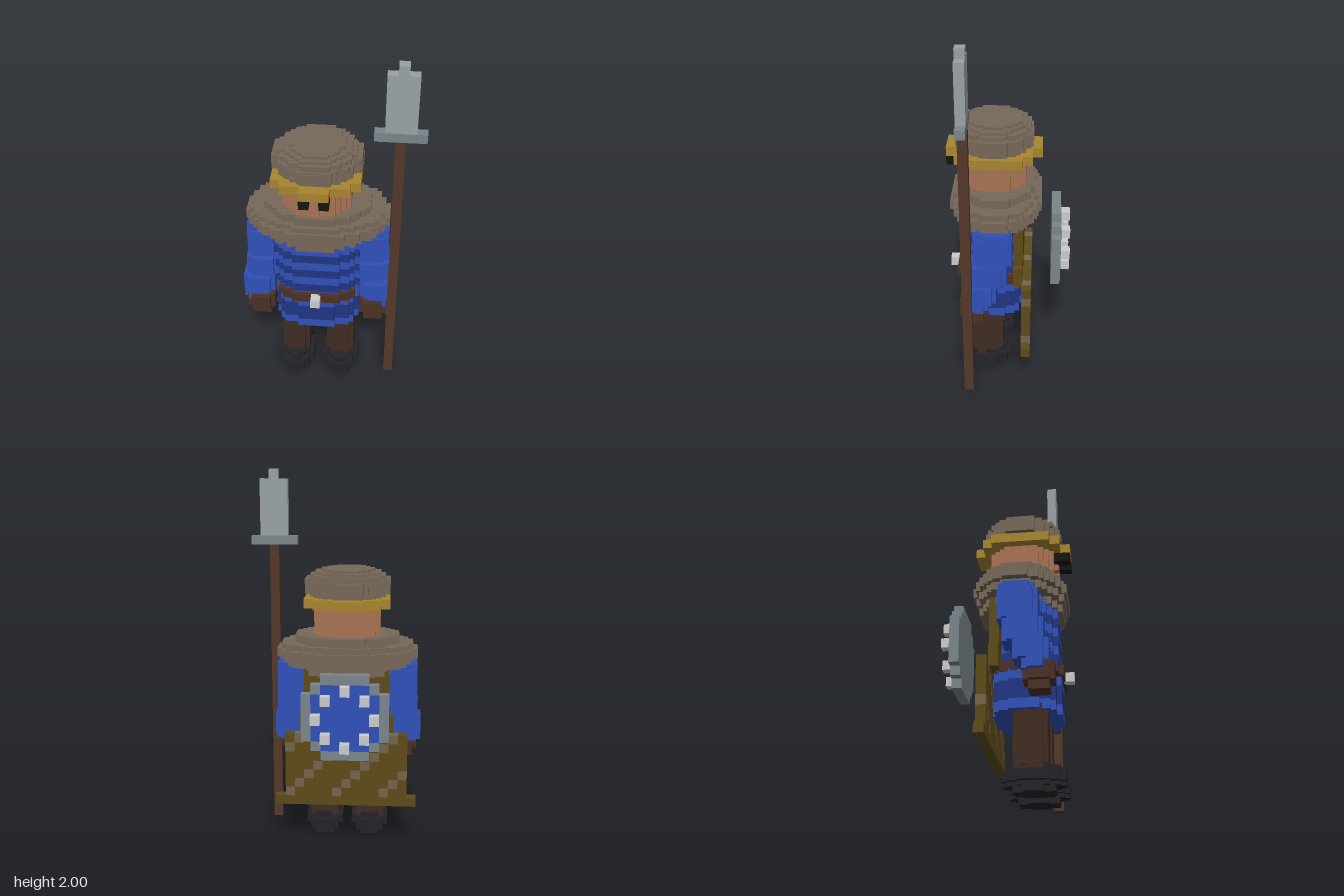
import * as THREE from 'three';
import { mergeGeometries } from 'three/addons/utils/BufferGeometryUtils.js';

const C = 0.05;        // block size
const CX = -0.065;     // the figure's own centre line
const colors = {
  blue: 0x3050b8, navy: 0x203580, fur: 0x776859, gold: 0xa8852e, cloak: 0x5e4b18, weave: 0x74654c,
  skin: 0xa87253, leather: 0x4b3025, trousers: 0x3f2c22, boot: 0x232328, shaft: 0x543829,
  steel: 0x9aa2a4, darkSteel: 0x7a868b, bright: 0xc0c4c4, black: 0x141414,
};
const mats = {};
const mat = (name) => (mats[name] ??= new THREE.MeshStandardMaterial({ color: colors[name], flatShading: true }));

// Box given by its minimum and maximum corners
function block(x0, x1, y0, y1, z0, z1) {
  return new THREE.BoxGeometry(x1 - x0, y1 - y0, z1 - z0)
    .translate((x0 + x1) / 2, (y0 + y1) / 2, (z0 + z1) / 2);
}

// Stepped oval slab made of rows of blocks; p > 2 makes it squarer
function oval(cx, cz, rx, rz, y0, y1, p = 2, c = C) {
  const n = Math.round(2 * rz / c), d = 2 * rz / n, rows = [];
  for (let j = 0; j < n; j++) {
    const z = -rz + (j + 0.5) * d;
    const w = rx * Math.pow(1 - Math.pow(Math.abs(z) / rz, p), 1 / p);
    const hw = rx - c * Math.round((rx - w) / c);
    if (hw > 0.01) rows.push(block(cx - hw, cx + hw, y0, y1, cz + z - d / 2, cz + z + d / 2));
  }
  return mergeGeometries(rows);
}

function add(group, name, color, geometries) {
  const mesh = new THREE.Mesh(mergeGeometries([geometries].flat()), mat(color));
  mesh.name = name;
  group.add(mesh);
}

// Stack of ovals: each row is [y0, y1, rx, rz]
const stack = (cx, cz, rows, p, c) => rows.map(([y0, y1, rx, rz]) => oval(cx, cz, rx, rz, y0, y1, p, c));

export function createModel() {
  const model = new THREE.Group();
  model.name = 'guard';

  // Boots and legs
  for (const [side, x] of [['right', -0.19], ['left', 0.06]]) {
    add(model, side + 'Boot', 'boot', stack(x, 0.13, [
      [0, 0.03, 0.075, 0.1], [0.03, 0.055, 0.075, 0.15], [0.05, 0.1, 0.1, 0.15], [0.1, 0.13, 0.075, 0.125],
    ], 2.1, 0.025));
    add(model, side + 'Leg', 'trousers', oval(x, 0.115, 0.075, 0.085, 0.1, 0.42, 3, 0.025));
  }

  // Striped tunic: a wider skirt below the belt, a flatter chest above
  const tunic = { blue: [], navy: [] };
  for (let i = 0; i < 12; i++) {
    const y = 0.39 + i * C, skirt = i < 4;
    const stripe = i === 1 || i === 2 || i === 5 || i === 7 || i === 9 ? 'navy' : 'blue';
    tunic[stripe].push(oval(CX, skirt ? 0.09 : 0.105, 0.225, skirt ? 0.175 : 0.15, y, y + C, 2.5, 0.025));
  }
  add(model, 'tunic', 'blue', tunic.blue);
  add(model, 'tunicStripes', 'navy', tunic.navy);
  add(model, 'belt', 'leather', oval(CX, 0.1, 0.23, 0.18, 0.585, 0.635, 2.6, 0.025));
  add(model, 'buckle', 'bright', block(CX - 0.025, CX + 0.025, 0.585, 0.635, 0.27, 0.325));

  // Arms: sleeves step outwards and forwards towards the hands
  for (const [side, s] of [['right', -1], ['left', 1]]) {
    const arm = [
      [0.92, 0.99, 0.275, 0.07, 0.1, 0.09], [0.8, 0.96, 0.29, 0.075, 0.085, 0.1],
      [0.68, 0.8, 0.295, 0.1, 0.085, 0.1], [0.58, 0.68, 0.315, 0.14, 0.085, 0.085],
      [0.53, 0.58, 0.325, 0.16, 0.075, 0.065],
    ].map(([y0, y1, dx, z, rx, rz]) => oval(CX + s * dx, z, rx, rz, y0, y1, 2.5, 0.025));
    add(model, side + 'Sleeve', 'blue', arm);
    add(model, side + 'Hand', 'leather',
      stack(CX + s * 0.305, 0.175, [[0.435, 0.48, 0.05, 0.05], [0.48, 0.57, 0.075, 0.075]], 2.5, 0.025));
  }

  // Cloak: narrow back panel, wide lower panel with a diagonal weave, and hem
  add(model, 'cloakBack', 'cloak', [
    block(-0.29, 0.16, 0.6, 0.99, -0.08, -0.03), block(-0.315, 0.185, 0.6, 0.72, -0.08, -0.03),
  ]);
  const cells = { cloak: [], weave: [] };
  for (let i = 0; i < 13; i++) for (let j = 0; j < 7; j++) {
    const x = -0.39 + i * C, y = 0.28 + j * C;
    cells[(i + j) % 5 === 2 ? 'weave' : 'cloak'].push(block(x, x + C, y, y + C, -0.125, -0.075));
  }
  add(model, 'cloakSkirt', 'cloak', cells.cloak);
  add(model, 'cloakWeave', 'weave', cells.weave);
  add(model, 'cloakHem', 'cloak', block(-0.44, 0.315, 0.23, 0.28, -0.125, -0.075));

  // Fur collar
  add(model, 'furCollar', 'fur', stack(CX, 0.065, [
    [0.94, 0.99, 0.25, 0.215], [0.98, 1.02, 0.335, 0.225], [1.02, 1.07, 0.375, 0.24],
    [1.07, 1.1, 0.35, 0.225], [1.1, 1.145, 0.275, 0.205],
  ], 2.2, 0.025));

  // Head with tapering nose, and eyes
  add(model, 'head', 'skin', [
    oval(CX, 0.075, 0.175, 0.165, 1.1, 1.34, 2.6, 0.025),
    block(CX - 0.06, CX + 0.06, 1.2, 1.235, 0.2, 0.262),
    block(CX - 0.025, CX + 0.025, 1.15, 1.26, 0.2, 0.262),
  ]);
  for (const [side, s] of [['right', -1], ['left', 1]]) {
    const x = CX + s * 0.05;
    add(model, side + 'Eye', 'black', block(x - 0.025, x + 0.025, 1.245, 1.295, 0.23, 0.325));
  }

  // Fur hat with gold band
  add(model, 'hatBand', 'gold', [
    oval(CX, 0.075, 0.225, 0.2, 1.295, 1.345, 3),
    block(CX - 0.075, CX + 0.075, 1.295, 1.345, -0.175, 0.325),
  ]);
  add(model, 'hat', 'fur', [
    ...stack(CX, 0.075, [
      [1.34, 1.37, 0.2, 0.19], [1.36, 1.43, 0.21, 0.2], [1.43, 1.46, 0.2, 0.19],
      [1.46, 1.475, 0.175, 0.17], [1.475, 1.49, 0.14, 0.145],
    ], 2, 0.025),
    block(CX - 0.05, CX + 0.05, 1.38, 1.42, -0.13, 0.28),
    block(CX - 0.225, CX + 0.225, 1.36, 1.44, 0, 0.15),
  ]);

  // Polearm in the left hand
  const pole = new THREE.Group();
  pole.name = 'polearm';
  model.add(pole);
  add(pole, 'shaft', 'shaft', block(0.315, 0.365, 0.03, 1.6, 0.18, 0.23));
  add(pole, 'crossguard', 'darkSteel', block(0.215, 0.465, 1.6, 1.648, 0.18, 0.23));
  add(pole, 'blade', 'steel', [
    block(0.265, 0.415, 1.648, 1.95, 0.18, 0.23), block(0.315, 0.365, 1.95, 2, 0.18, 0.23),
  ]);

  // Round shield on the back: rim, face and a ring of studs
  const shield = new THREE.Group();
  shield.name = 'shield';
  shield.position.set(CX, 0.765, -0.23);
  shield.rotation.x = -Math.PI / 2; // local +y points backwards
  model.add(shield);
  add(shield, 'shieldRim', 'darkSteel', oval(0, 0, 0.225, 0.225, 0, 0.05, 2.3));
  add(shield, 'shieldFace', 'blue', oval(0, 0, 0.175, 0.175, 0.01, 0.052, 2.3));
  const studs = [];
  for (let k = 0; k < 8; k++) {
    const r = k % 2 ? 0.1 * Math.SQRT2 : 0.15, a = k * Math.PI / 4;
    const x = r * Math.cos(a), z = r * Math.sin(a);
    studs.push(block(x - 0.025, x + 0.025, 0.04, 0.1, z - 0.025, z + 0.025));
  }
  add(shield, 'shieldStuds', 'bright', studs);

  return model;
}
